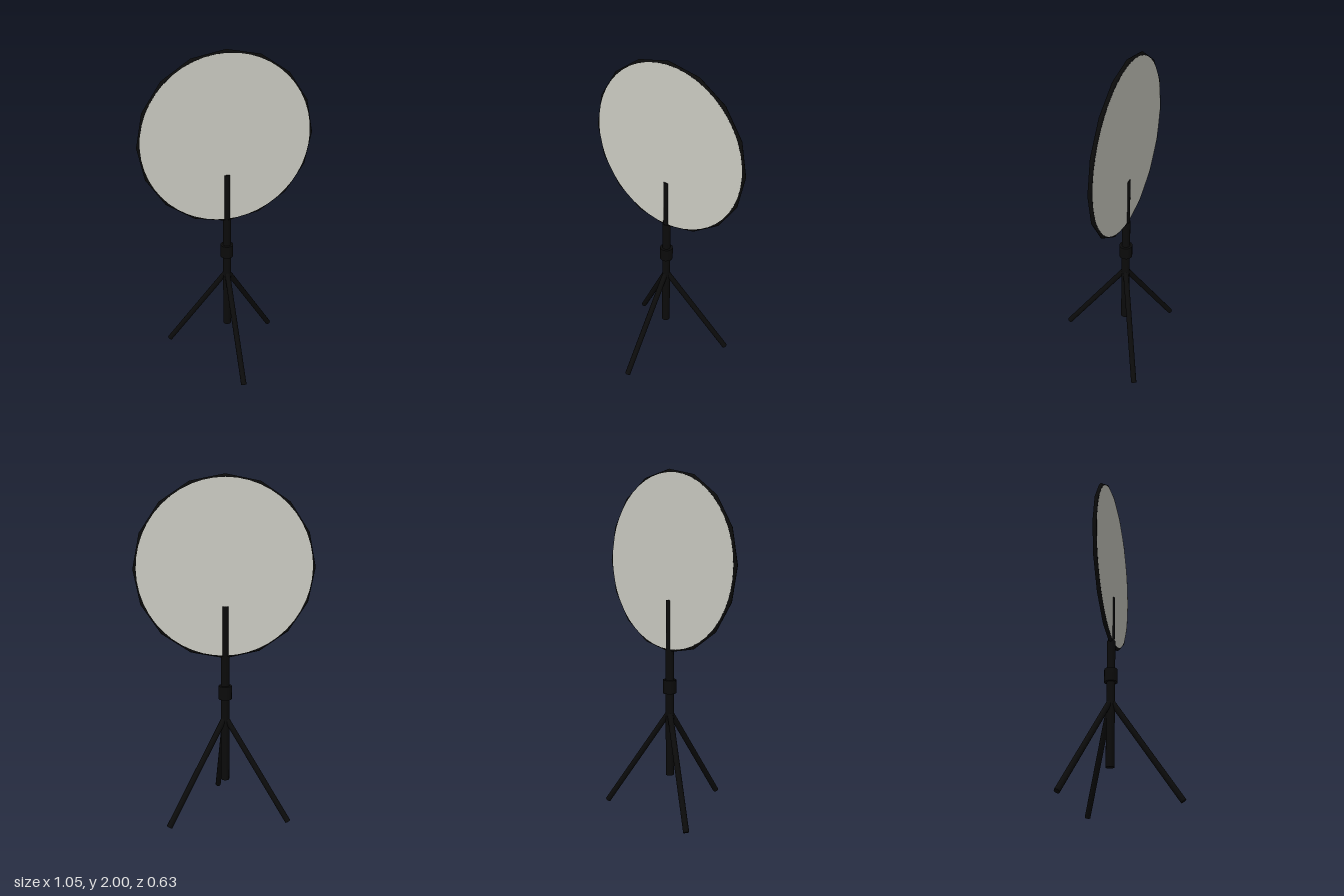
import * as THREE from 'three';

export function createModel() {
  const black = new THREE.MeshStandardMaterial({ color: 0x0b0b0b });
  black.name = 'matte black';
  const fabric = new THREE.MeshStandardMaterial({ color: 0xcfcfc6 });
  fabric.name = 'pale grey fabric';

  const model = new THREE.Group();
  model.name = 'reflectorOnStand';
  const stand = new THREE.Group();
  stand.name = 'stand';
  stand.position.z = -0.1;
  model.add(stand);

  const add = (name, geometry, material, y = 0) => {
    const mesh = new THREE.Mesh(geometry, material);
    mesh.name = name;
    mesh.position.y = y;
    stand.add(mesh);
    return mesh;
  };
  // upright tube between two heights
  const upright = (name, radius, bottom, top, sides) =>
    add(name, new THREE.CylinderGeometry(radius, radius, top - bottom, sides), black, (bottom + top) / 2);

  // round panel: dark edge, fabric on both faces
  const panelY = 1.477;
  const disc = new THREE.CylinderGeometry(0.504, 0.504, 0.023, 48).rotateX(Math.PI / 2);
  add('reflectorPanel', disc, [black, fabric, fabric], panelY);
  add('panelRim', new THREE.TorusGeometry(0.51, 0.0127, 6, 16), black, panelY);

  // centre column, upper pole and clamp
  upright('lowerColumn', 0.025, 0.21, 0.97, 12);
  upright('upperPole', 0.021, 0.9, 1.26, 12);
  upright('clampCollar', 0.04, 0.71, 0.79, 12);

  // three splayed legs, one pointing forward
  const hub = new THREE.Vector3(0, 0.6, 0);
  const up = new THREE.Vector3(0, 1, 0);
  for (let i = 0; i < 3; i++) {
    const a = (i * Math.PI * 2) / 3;
    const foot = new THREE.Vector3(Math.sin(a) * 0.4, 0.01, Math.cos(a) * 0.4);
    const along = hub.clone().sub(foot);
    const leg = add(['frontLeg', 'backLeftLeg', 'backRightLeg'][i],
      new THREE.CylinderGeometry(0.017, 0.017, along.length(), 10), black);
    leg.position.copy(hub).add(foot).multiplyScalar(0.5);
    leg.quaternion.setFromUnitVectors(up, along.normalize());
  }
  return model;
}
